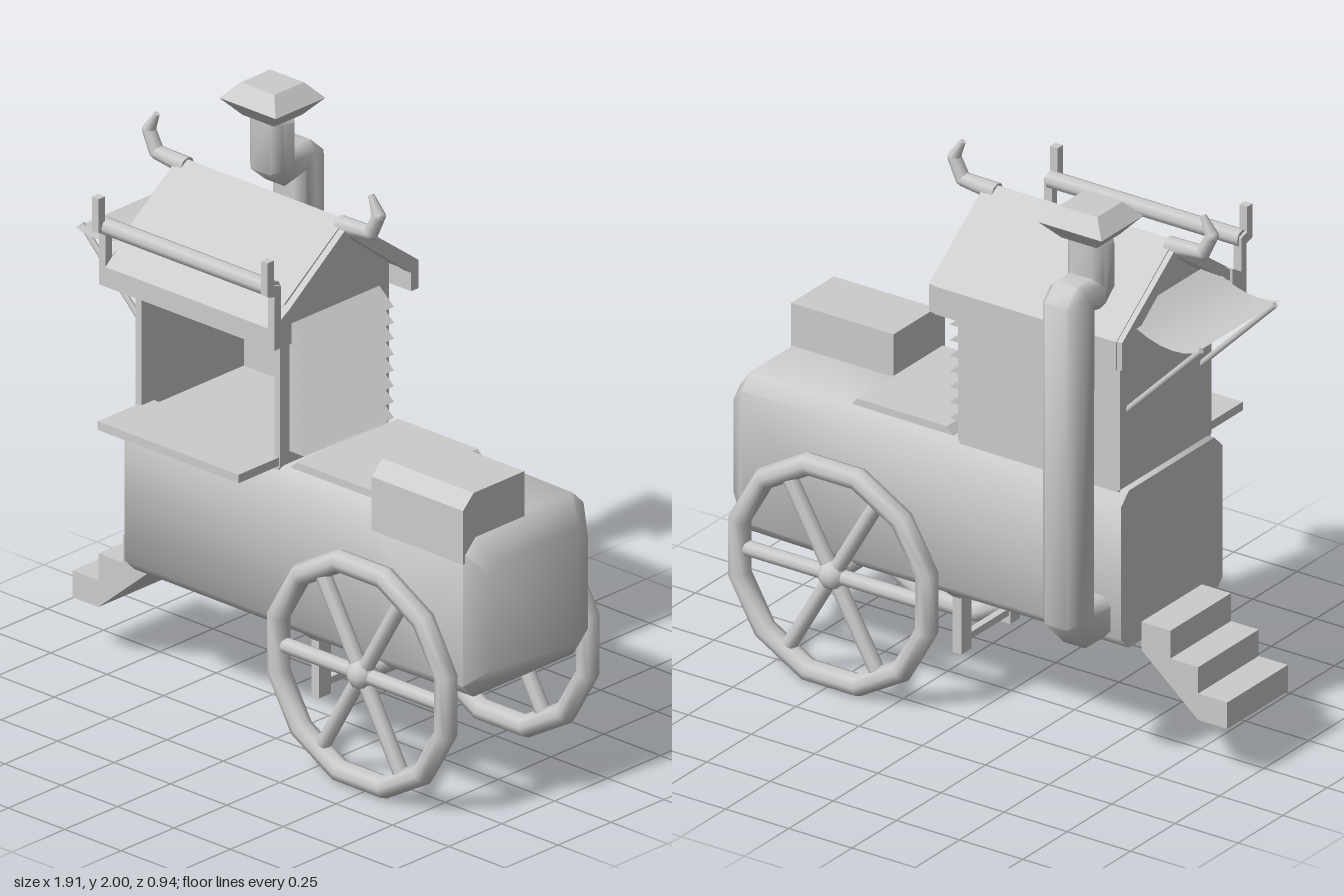
import * as THREE from 'three';
import { toCreasedNormals } from 'three/addons/utils/BufferGeometryUtils.js';

const ZC = 0.02; // centre line of the cart body
const mat = new THREE.MeshStandardMaterial({ color: 0xcccccc });
const thin = new THREE.MeshStandardMaterial({ color: 0xcccccc, side: THREE.DoubleSide });

export function createModel() {
  const root = new THREE.Group();

  const add = (name, geo, material = mat, parent = root) => {
    const mesh = new THREE.Mesh(geo, material);
    mesh.name = name;
    parent.add(mesh);
    return mesh;
  };
  // box from its two extreme corners
  const box = (name, x0, x1, y0, y1, z0, z1) =>
    add(name, new THREE.BoxGeometry(x1 - x0, y1 - y0, z1 - z0)
      .translate((x0 + x1) / 2, (y0 + y1) / 2, (z0 + z1) / 2));
  const shapeOf = pts => new THREE.Shape(pts.map(p => new THREE.Vector2(...p)));
  // (x, y) outline extruded along z
  const extrudeZ = (name, pts, z0, z1) =>
    add(name, new THREE.ExtrudeGeometry(shapeOf(pts), { depth: z1 - z0, bevelEnabled: false }).translate(0, 0, z0));
  // (z, y) outline extruded along x
  const extrudeX = (name, pts, x0, x1, bevel = 0) => {
    const g = new THREE.ExtrudeGeometry(shapeOf(pts.map(([z, y]) => [-z, y])), {
      depth: x1 - x0 - 2 * bevel, bevelEnabled: bevel > 0, bevelSize: bevel,
      bevelThickness: bevel, bevelOffset: -bevel, bevelSegments: 1 });
    g.rotateY(Math.PI / 2).translate(x0 + bevel, 0, 0);
    return add(name, bevel ? toCreasedNormals(g, 0.9) : g);
  };
  // round bar between two points
  const bar = (name, a, b, r0, r1 = r0, sides = 8, parent = root) => {
    const A = new THREE.Vector3(...a), d = new THREE.Vector3(...b).sub(A);
    const m = add(name, new THREE.CylinderGeometry(r1, r0, d.length(), sides), mat, parent);
    m.position.copy(A).addScaledVector(d, 0.5);
    m.quaternion.setFromUnitVectors(new THREE.Vector3(0, 1, 0), d.normalize());
    return m;
  };

  // cart body: chamfered cross-sections lofted along x, narrowing at the nose
  const ring = (x, y0, y1, hw, c) => [
    [-hw + c, y0], [hw - c, y0], [hw, y0 + c], [hw, y1 - c],
    [hw - c, y1], [-hw + c, y1], [-hw, y1 - c], [-hw, y0 + c]].map(([z, y]) => [x, y, z + ZC]);
  const rings = [ring(-0.62, 0.415, 0.98, 0.285, 0.045), ring(0.48, 0.415, 0.985, 0.29, 0.045),
    ring(0.88, 0.415, 0.985, 0.285, 0.05), ring(0.955, 0.49, 0.9, 0.225, 0.04)];
  const pos = rings.flat(2), idx = [], last = (rings.length - 1) * 8;
  for (let r = 0; r < rings.length - 1; r++)
    for (let i = 0; i < 8; i++) {
      const a = r * 8 + i, b = r * 8 + (i + 1) % 8;
      idx.push(a, a + 8, b, b, a + 8, b + 8);
    }
  for (let i = 1; i < 7; i++) idx.push(0, i, i + 1, last, last + i + 1, last + i);
  // orient every face away from the axis of the body
  const centre = new THREE.Vector3(0.15, 0.7, ZC);
  const P = i => new THREE.Vector3(...pos.slice(i * 3, i * 3 + 3));
  for (let t = 0; t < idx.length; t += 3) {
    const [a, b, c] = [P(idx[t]), P(idx[t + 1]), P(idx[t + 2])];
    const n = b.clone().sub(a).cross(c.clone().sub(a));
    if (n.dot(a.add(b).add(c).divideScalar(3).sub(centre)) < 0)
      [idx[t + 1], idx[t + 2]] = [idx[t + 2], idx[t + 1]];
  }
  const body = new THREE.BufferGeometry();
  body.setAttribute('position', new THREE.Float32BufferAttribute(pos, 3));
  body.setIndex(idx);
  add('cartBody', toCreasedNormals(body, 0.9));

  // raised deck and corner locker on top of the body
  extrudeZ('deckPlate', [[0.06, 0.97], [0.48, 0.97], [0.48, 0.98], [0.455, 1.01], [0.1, 1.01]], -0.22, 0.26);
  extrudeX('locker', [[0.02, 0.9], [0.31, 0.9], [0.31, 1.09], [0.26, 1.138], [0.02, 1.138]], 0.48, 0.885);

  // booth: floor, back and side walls, open at the front
  box('boothFloor', -0.59, 0.04, 0.97, 1.0, -0.235, 0.28);
  box('boothBackWall', -0.59, 0.04, 0.98, 1.53, -0.235, -0.205);
  const gable = [[0.28, 0.98], [0.28, 1.54], [ZC, 1.74], [-0.235, 1.54], [-0.235, 0.98]];
  extrudeX('rightWall', gable, -0.595, -0.57);
  extrudeX('leftWall', gable, 0.02, 0.045);
  box('servingCounter', -0.585, 0.04, 0.985, 1.015, 0.22, 0.47);

  // louvres on the left wall
  const slats = 8, pitch = 0.056;
  for (let i = 0; i < slats; i++) {
    const y = 1.025 + i * pitch;
    extrudeZ('louvre', [[0.04, y], [0.11, y], [0.045, y + pitch]], -0.19, 0.235);
  }

  // roof: folded sheet with hanging eaves, and end boards
  extrudeX('roof', [[ZC, 1.79], [0.35, 1.55], [0.385, 1.52], [0.385, 1.45], [0.345, 1.45], [0.335, 1.51],
    [ZC, 1.74], [-0.265, 1.52], [-0.265, 1.45], [-0.305, 1.45], [-0.305, 1.55]], -0.63, 0.09);
  for (const x of [-0.65, 0.085])
    extrudeX('roofEndBoard', [[ZC, 1.785], [0.345, 1.545], [0.34, 1.51], [ZC, 1.735],
      [-0.265, 1.515], [-0.265, 1.45], [-0.3, 1.45], [-0.3, 1.55]], x, x + 0.03);

  // hooked brackets carrying the rail above the front eave
  for (const x of [-0.66, 0.09])
    extrudeX('eaveBracket', [[0.305, 1.45], [0.385, 1.45], [0.385, 1.64], [0.418, 1.65], [0.418, 1.77],
      [0.388, 1.77], [0.388, 1.68], [0.355, 1.67], [0.355, 1.55], [0.305, 1.58]], x, x + 0.03);
  bar('eaveRail', [-0.65, 1.66, 0.375], [0.11, 1.66, 0.375], 0.03);

  // ridge horns, mirrored about the middle of the roof
  const mid = -0.27;
  for (const s of [-1, 1]) {
    const pts = [[0.34, 1.765], [0.475, 1.775], [0.51, 1.845], [0.475, 1.91]].map(([d, y]) => [mid + s * d, y, ZC]);
    const radii = [0.032, 0.025, 0.023, 0.01];
    for (let i = 0; i < 3; i++) bar('ridgeHorn', pts[i], pts[i + 1], radii[i], radii[i + 1], 8);
    for (const i of [1, 2])
      add('ridgeHornJoint', new THREE.SphereGeometry(radii[i], 8, 6)).position.set(...pts[i]);
  }

  // cloth awning at the right end, with two struts
  const cloth = new THREE.PlaneGeometry(1, 0.48, 6, 1);
  const sag = new THREE.QuadraticBezierCurve(new THREE.Vector2(-0.6, 1.6), new THREE.Vector2(-0.75, 1.5), new THREE.Vector2(-0.88, 1.545));
  const cp = cloth.attributes.position;
  for (let i = 0; i < cp.count; i++) {
    const p = sag.getPoint(cp.getX(i) + 0.5);
    cp.setXYZ(i, p.x, p.y, cp.getY(i) + ZC);
  }
  cloth.computeVertexNormals();
  add('awning', cloth, thin);
  for (const z of [-0.19, 0.225]) bar('awningStrut', [-0.585, 1.245, z], [-0.885, 1.545, z], 0.011, 0.011, 6);

  // stove pipe with elbows, and its cap
  extrudeX('stovePipe', [[-0.22, 0.45], [-0.365, 0.45], [-0.47, 0.555], [-0.47, 1.71], [-0.41, 1.765],
    [-0.33, 1.765], [-0.33, 1.9], [-0.215, 1.9], [-0.215, 1.7], [-0.285, 1.64], [-0.33, 1.65],
    [-0.33, 0.6], [-0.22, 0.6]], -0.58, -0.435, 0.03);
  const q = Math.SQRT2;
  const cap = new THREE.LatheGeometry([[0, 1.88], [0.07 * q, 1.885], [0.125 * q, 1.945], [0.075 * q, 2], [0, 2]]
    .map(p => new THREE.Vector2(...p)), 4);
  cap.rotateY(Math.PI / 4).scale(1, 1, 0.94).translate(-0.505, 0, -0.27);
  add('pipeCap', toCreasedNormals(cap, 0.6));

  // wheels: twelve-sided rim, six spokes, hub
  for (const z of [0.357, -0.315]) {
    const wheel = new THREE.Group();
    wheel.name = 'wheel';
    wheel.position.set(0.482, 0.408, z);
    add('rim', new THREE.TorusGeometry(0.383, 0.039, 8, 12).rotateZ(Math.PI / 12), mat, wheel);
    for (let i = 0; i < 6; i++) {
      const a = i * Math.PI / 3;
      bar('spoke', [0, 0, 0], [0.37 * Math.cos(a), 0.37 * Math.sin(a), 0], 0.027, 0.027, 8, wheel);
    }
    add('hub', new THREE.SphereGeometry(0.052, 10, 8), mat, wheel);
    root.add(wheel);
  }
  bar('axle', [0.482, 0.408, -0.32], [0.482, 0.408, 0.36], 0.03);

  // standing legs with splayed tops
  for (const s of [-1, 1])
    extrudeX('supportLeg', [[0.11, 0.16], [0.165, 0.16], [0.165, 0.36], [0.24, 0.42], [0, 0.42], [0.11, 0.36]]
      .map(([z, y]) => [ZC + s * z, y]), 0.095, 0.13);
  box('legBrace', 0.1, 0.125, 0.19, 0.215, -0.12, 0.16);

  // entry steps
  extrudeZ('steps', [[-0.62, 0.48], [-0.735, 0.48], [-0.735, 0.38], [-0.845, 0.38], [-0.845, 0.285],
    [-0.96, 0.285], [-0.96, 0.19], [-0.845, 0.19], [-0.62, 0.38]], -0.15, 0.19);

  return root;
}
